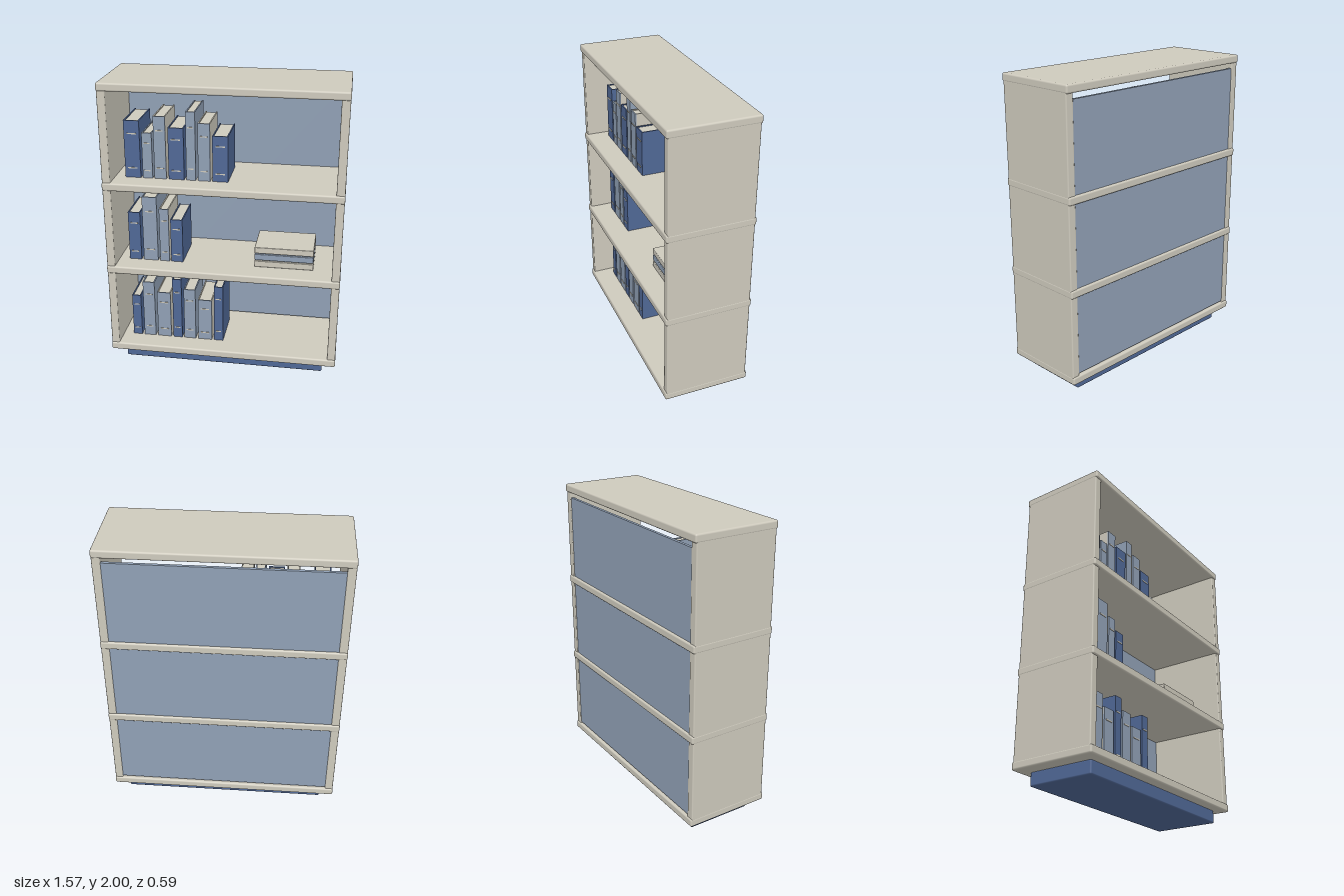
import * as THREE from 'three';
import { RoundedBoxGeometry } from 'three/addons/geometries/RoundedBoxGeometry.js';

const cream = new THREE.MeshStandardMaterial({ color: 0xcecabd });
cream.name = 'cream';
const slate = new THREE.MeshStandardMaterial({ color: 0x90a0b5 });
slate.name = 'slate';
const navy = new THREE.MeshStandardMaterial({ color: 0x506896 });
navy.name = 'navy';

// Box given by its min and max corners; a radius rounds its edges
function box(parent, name, material, [x0, y0, z0], [x1, y1, z1], radius = 0) {
  const size = [x1 - x0, y1 - y0, z1 - z0];
  const geometry = radius
    ? new RoundedBoxGeometry(...size, 2, radius)
    : new THREE.BoxGeometry(...size);
  const mesh = new THREE.Mesh(geometry, material);
  mesh.name = name;
  mesh.position.set((x0 + x1) / 2, (y0 + y1) / 2, (z0 + z1) / 2);
  parent.add(mesh);
  return mesh;
}

// Upright book: two covers, a spine, inset pages and two bands on the spine
const FRONT = 0.15, BACK = -0.15;
function makeBook(x0, x1, y0, y1, cover, spine) {
  const book = new THREE.Group();
  book.name = 'book';
  const t = 0.008, mid = (x0 + x1) / 2, half = (x1 - x0) * 0.3;
  box(book, 'leftCover', cover, [x1 - t, y0, BACK], [x1, y1, FRONT - t]);
  box(book, 'rightCover', cover, [x0, y0, BACK], [x0 + t, y1, FRONT - t]);
  box(book, 'spine', spine, [x0, y0, FRONT - t], [x1, y1, FRONT]);
  box(book, 'pages', cream, [x0 + t, y0 + 0.004, BACK + 0.006], [x1 - t, y1 - 0.006, FRONT - t]);
  for (const f of [0.17, 0.775]) {
    const y = y0 + (y1 - y0) * f;
    box(book, 'spineBand', cream, [mid - half, y - 0.004, FRONT], [mid + half, y + 0.004, FRONT + 0.003]);
  }
  return book;
}

// Each row: shelf height, then [left edge, right edge, top] of every book
const rows = [
  { y: 0.14, books: [
    [-0.66, -0.598, 0.452], [-0.58, -0.497, 0.563], [-0.48, -0.384, 0.489], [-0.368, -0.304, 0.6],
    [-0.288, -0.206, 0.526], [-0.188, -0.09, 0.452], [-0.074, -0.01, 0.563]] },
  { y: 0.74, books: [
    [-0.66, -0.577, 1.087], [-0.56, -0.46, 1.203], [-0.445, -0.38, 1.122], [-0.368, -0.286, 1.05]] },
  { y: 1.34, books: [
    [-0.66, -0.556, 1.727], [-0.542, -0.476, 1.648], [-0.463, -0.384, 1.762], [-0.368, -0.265, 1.69],
    [-0.25, -0.188, 1.8], [-0.172, -0.092, 1.727], [-0.077, 0.026, 1.648]] },
];

export function createModel() {
  const model = new THREE.Group();
  model.name = 'bookcase';

  // Plinth and carcass
  box(model, 'plinth', navy, [-0.695, 0, -0.224], [0.695, 0.088, 0.224], 0.01);
  for (const s of [-1, 1]) {
    const side = box(model, s > 0 ? 'leftSide' : 'rightSide', cream,
      [-0.0275, 0.09, -0.284], [0.0275, 1.99, 0.284], 0.008);
    side.position.x = s * 0.757;
  }
  box(model, 'backPanel', slate, [-0.735, 0.15, -0.279], [0.735, 1.91, -0.259]);

  // Boards
  for (const y of [0.14, 0.74, 1.34, 2]) {
    box(model, y === 2 ? 'topBoard' : 'shelf', cream,
      [-0.786, y - 0.054, -0.293], [0.786, y, 0.293], 0.012);
  }

  // Standing books, in a repeating order of colours
  const covers = [navy, slate, cream], spines = [navy, slate, slate];
  for (const row of rows) {
    row.books.forEach(([x0, x1, top], i) => {
      model.add(makeBook(x0, x1, row.y, top, covers[i % 3], spines[i % 3]));
    });
  }

  // Lying books
  [cream, slate, cream].forEach((material, i) => {
    const y = 0.742 + i * 0.05;
    box(model, 'lyingBook', material, [0.205, y, -0.14], [0.602, y + 0.044, 0.15], 0.005);
  });

  return model;
}
